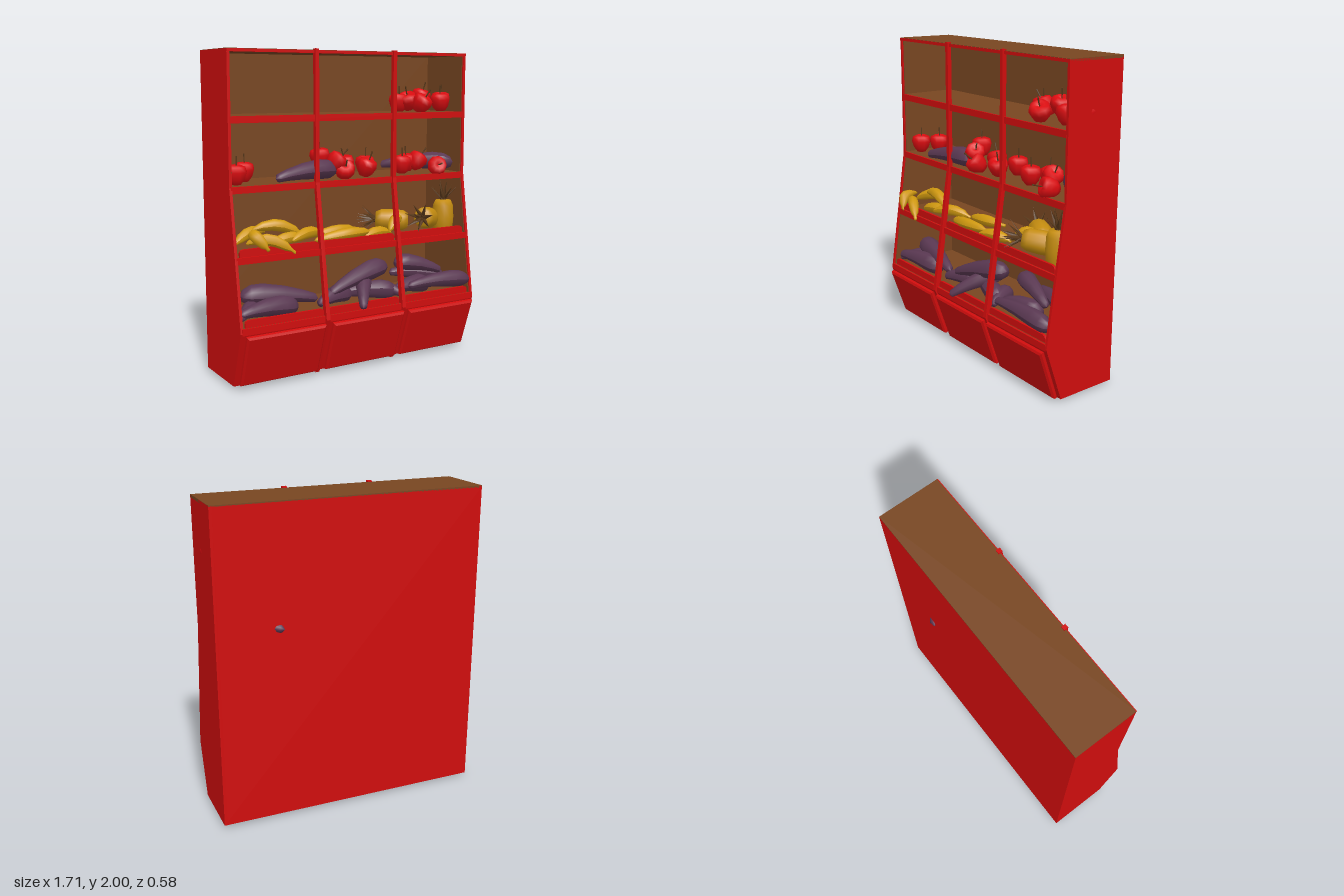
import * as THREE from 'three';

const mat = (name, color) => {
  const m = new THREE.MeshStandardMaterial({ color });
  m.name = name;
  return m;
};

export function createModel() {
  const red = mat('cabinet red', 0xd00d0d);
  const brown = mat('wood brown', 0x784621);
  const appleRed = mat('apple red', 0xdc0c10);
  const purple = mat('aubergine purple', 0x5a3852);
  const yellow = mat('banana yellow', 0xcf980f);
  const gold = mat('pineapple gold', 0xc48c10);
  const dryLeaf = mat('leaf brown', 0x5c3b1c);

  const model = new THREE.Group();
  model.name = 'produceStand';

  const add = (parent, name, geo, material, x = 0, y = 0, z = 0) => {
    const m = new THREE.Mesh(geo, material);
    m.name = name;
    m.position.set(x, y, z);
    parent.add(m);
    return m;
  };
  // Box from its limits on each axis
  const box = (name, material, x0, x1, y0, y1, z0, z1) =>
    add(model, name, new THREE.BoxGeometry(x1 - x0, y1 - y0, z1 - z0), material,
      (x0 + x1) / 2, (y0 + y1) / 2, (z0 + z1) / 2);
  const shapeOf = pts => new THREE.Shape(pts.map(p => new THREE.Vector2(p[0], p[1])));
  // Slab cut to a side outline of [z, y] points, with thickness along x
  const slab = (name, material, pts, x, t) => {
    const g = new THREE.ExtrudeGeometry(shapeOf(pts), { depth: t, bevelEnabled: false });
    g.translate(0, 0, -t / 2).rotateY(-Math.PI / 2);
    return add(model, name, g, material, x);
  };

  // --- Cabinet shell: red outside, wood inside ---
  const W = 0.855;
  const outline = [[-0.28, 0.02], [0.12, 0.02], [0.238, 0.365], [0.115, 1.2], [0.115, 1.99], [-0.28, 1.99]];
  const lining = [[-0.27, 0.38], [0.225, 0.38], [0.105, 1.2], [0.105, 1.975], [-0.27, 1.975]];
  for (const s of [-1, 1]) {
    slab('sideWall', red, outline, s * (W - 0.009), 0.018);
    slab('sideLining', brown, lining, s * (W - 0.02), 0.005);
  }
  box('backWall', red, -W, W, 0.02, 1.985, -0.28, -0.274);
  box('backLining', brown, -W + 0.02, W - 0.02, 0.38, 1.98, -0.274, -0.27);
  box('roof', brown, -W, W, 1.975, 1.992, -0.28, 0.112);
  box('roofEdge', red, -W, W, 1.972, 1.99, 0.108, 0.117);
  box('floor', red, -W, W, 0.02, 0.035, -0.28, 0.12);

  // --- Shelves with red front edges ---
  for (const [top, front] of [[1.61, 0.115], [1.205, 0.115], [0.8, 0.174], [0.395, 0.236]]) {
    box('shelf', brown, -W + 0.018, W - 0.018, top - 0.036, top - 0.001, -0.27, front - 0.008);
    box('shelfEdge', red, -W + 0.01, W - 0.01, top - 0.04, top, front - 0.01, front + 0.002);
  }

  // --- Slanted base front, its three raised panels and the retaining lips ---
  const tilt = Math.atan2(0.118, 0.345);
  const base = add(model, 'baseFront', new THREE.BoxGeometry(W * 2 - 0.02, 0.365, 0.01), red, 0, 0.193, 0.174);
  base.rotation.x = tilt;
  for (const x of [-0.562, 0.015, 0.575]) {
    const w = 0.25, h = 0.158;
    const g = new THREE.ExtrudeGeometry(shapeOf([[-w, -h], [w, -h], [w, h], [-w, h]]),
      { depth: 0.016, bevelThickness: 0.01, bevelSize: 0.012, bevelSegments: 1 });
    add(model, 'basePanel', g, red, x, 0.19, 0.19).rotation.x = tilt;
  }
  const lip = shapeOf([[-0.262, 0], [0.262, 0], [0.262, 0.028], [0.255, 0.041], [0.24, 0.047],
    [-0.24, 0.047], [-0.255, 0.041], [-0.262, 0.028]]);
  for (const x of [-0.555, 0, 0.558])
    for (const [y, z] of [[0.798, 0.145], [0.392, 0.205]])
      add(model, 'lip', new THREE.ExtrudeGeometry(lip, { depth: 0.015, bevelEnabled: false }), red, x, y, z);

  // --- Upright strips that follow the front ---
  const strip = [[0.11, 0], [0.252, 0.37], [0.127, 1.2], [0.127, 2], [0.1, 2], [0.1, 1.2],
    [0.215, 0.37], [0.085, 0.01]];
  for (const x of [-0.28, 0.283]) slab('upright', red, strip, x, 0.026);

  // --- Produce ---
  const UP = new THREE.Vector3(0, 1, 0);
  const lathe = (pts, n) => new THREE.LatheGeometry(pts.map(p => new THREE.Vector2(p[0], p[1])), n);
  // Lathed body stretched between two points, bowed towards the given direction
  const bowed = (name, profile, material, a, b, bow, scale = 1) => {
    const A = new THREE.Vector3(...a), B = new THREE.Vector3(...b);
    const dir = B.clone().sub(A), len = dir.length();
    const g = lathe(profile.map(([r, t]) => [r * scale, t * len]), 10);
    g.applyQuaternion(new THREE.Quaternion().setFromUnitVectors(UP, dir.clone().normalize()));
    g.translate(A.x, A.y, A.z);
    const p = g.attributes.position, v = new THREE.Vector3();
    for (let i = 0; i < p.count; i++) {
      v.fromBufferAttribute(p, i);
      const t = v.clone().sub(A).dot(dir) / (len * len), k = 4 * t * (1 - t);
      p.setXYZ(i, v.x + bow[0] * k, v.y + bow[1] * k, v.z + bow[2] * k);
    }
    g.computeVertexNormals();
    add(model, name, g, material);
  };

  // Aubergines: thick end first
  const aubergine = [[0.001, 0], [0.036, 0.03], [0.058, 0.12], [0.062, 0.27], [0.05, 0.55], [0.036, 0.8], [0.026, 0.96], [0.001, 1]];
  for (const [a, b, s] of [
    [[-0.1, 1.265, 0.03], [-0.55, 1.235, 0.1], 1],
    [[0.83, 1.265, 0.03], [0.44, 1.24, -0.29], 1],
    [[-0.42, 0.45, 0.1], [-0.83, 0.46, 0.17], 1.05],
    [[-0.76, 0.535, 0.02], [-0.28, 0.48, 0.12], 1.05],
    [[-0.62, 0.45, -0.02], [-0.83, 0.44, 0.18], 0.9],
    [[-0.02, 0.47, 0.05], [-0.29, 0.45, 0.15], 1],
    [[0.26, 0.62, 0.06], [-0.2, 0.5, 0.13], 1.05],
    [[0.13, 0.56, 0.0], [-0.05, 0.42, 0.285], 0.9],
    [[0.29, 0.46, 0.14], [-0.1, 0.46, 0.02], 1],
    [[0.2, 0.45, 0], [0.3, 0.45, 0.2], 0.9],
    [[0.36, 0.62, 0.02], [0.69, 0.54, 0.1], 0.9],
    [[0.84, 0.485, 0.205], [0.34, 0.495, 0.21], 0.9],
    [[0.6, 0.45, 0.06], [0.3, 0.46, 0.12], 1],
    [[0.8, 0.46, -0.02], [0.4, 0.52, -0.1], 1],
  ]) bowed('aubergine', aubergine, purple, a, b, [0, 0.02, 0], s);

  // Bananas
  const banana = [[0.001, 0], [0.014, 0.03], [0.028, 0.18], [0.036, 0.4], [0.036, 0.6], [0.027, 0.82], [0.011, 0.92], [0.011, 0.99], [0.001, 1]];
  for (const [a, b, bow] of [
    [[-0.76, 0.87, 0.12], [-0.5, 0.81, 0.25], [0, 0.05, 0]],
    [[-0.72, 0.93, 0.1], [-0.67, 0.84, 0.245], [-0.03, 0.03, 0.02]],
    [[-0.68, 0.93, 0.03], [-0.35, 0.87, 0.08], [0, 0.05, 0]],
    [[-0.8, 0.86, 0.05], [-0.56, 0.9, -0.05], [0, 0.03, 0]],
    [[-0.62, 0.84, 0.1], [-0.3, 0.85, 0.03], [0, 0.03, 0.03]],
    [[-0.46, 0.86, 0.13], [-0.18, 0.86, 0.02], [0, 0.03, 0]],
    [[-0.28, 0.835, 0.08], [0.13, 0.86, 0.1], [0, 0.02, 0.04]],
    [[-0.22, 0.85, -0.02], [0.1, 0.86, -0.05], [0, 0.01, 0.02]],
    [[0.05, 0.83, 0.12], [0.3, 0.83, 0.06], [0, 0.02, 0]],
    [[0.3, 0.84, 0.05], [0.45, 0.9, -0.04], [0, 0.03, 0]],
  ]) bowed('banana', banana, yellow, a, b, bow);

  // Apples: x, y, z, lean in x and z
  const appleGeo = lathe([[0.001, -0.05], [0.03, -0.058], [0.052, -0.03], [0.066, 0.015], [0.058, 0.046],
    [0.032, 0.058], [0.001, 0.042]], 9);
  const stemGeo = new THREE.CylinderGeometry(0.005, 0.004, 0.07, 5).translate(0.004, 0.075, 0);
  for (const [x, y, z, rx, rz] of [
    [0.44, 1.67, -0.06, 0, 0], [0.49, 1.68, -0.03, 0.3, 0.4], [0.545, 1.665, 0.05, 0.5, -0.3],
    [0.61, 1.7, -0.05, 0.2, -0.2], [0.73, 1.672, 0.01, 0, 0.1], [0.795, 1.68, -0.07, 0, 0],
    [-0.77, 1.265, 0.02, 0, 0], [-0.68, 1.27, -0.07, 0, 0], [-0.16, 1.335, -0.06, 0, 0.1],
    [-0.1, 1.31, 0.04, 0.4, -0.6], [-0.05, 1.255, 0.06, 0.8, 0.3], [0.02, 1.28, -0.05, 0, 0.3],
    [0.13, 1.265, 0.03, 0.3, -0.2], [0.19, 1.27, -0.08, 0, 0], [0.42, 1.268, 0.01, 0, 0],
    [0.51, 1.27, -0.07, 0, 0.1], [0.57, 1.28, -0.03, 0.2, -0.6], [0.66, 1.25, 0.07, 1.3, 0.3],
  ]) {
    const apple = new THREE.Group();
    apple.name = 'apple';
    apple.position.set(x, y, z);
    apple.rotation.set(rx, 0, rz);
    add(apple, 'appleBody', appleGeo, appleRed);
    add(apple, 'appleStem', stemGeo, dryLeaf);
    model.add(apple);
  }

  // Pineapples: base point and growing direction
  const pineGeo = lathe([[0.001, 0], [0.05, 0], [0.068, 0.03], [0.073, 0.1], [0.068, 0.18], [0.052, 0.215], [0.001, 0.22]], 12);
  const leafGeo = new THREE.ConeGeometry(0.02, 0.14, 4).translate(0, 0.07, 0).scale(1, 1, 0.35);
  for (const [pos, dir] of [
    [[0.73, 0.8, 0.06], [0, 1, 0]],
    [[0.67, 0.89, 0.0], [-0.75, 0.14, 0.6]],
    [[0.5, 0.88, -0.03], [-0.85, 0.05, -0.5]],
  ]) {
    const pine = new THREE.Group();
    pine.name = 'pineapple';
    pine.position.set(...pos);
    pine.quaternion.setFromUnitVectors(UP, new THREE.Vector3(...dir).normalize());
    add(pine, 'pineappleBody', pineGeo, gold);
    for (let i = 0; i < 11; i++) {
      const leaf = add(pine, 'pineappleLeaf', leafGeo, dryLeaf, 0, 0.21, 0);
      leaf.rotation.set(i < 7 ? 0.75 : 0.25, i * Math.PI * 2 / (i < 7 ? 7 : 4), 0, 'YXZ');
    }
    model.add(pine);
  }
  return model;
}
